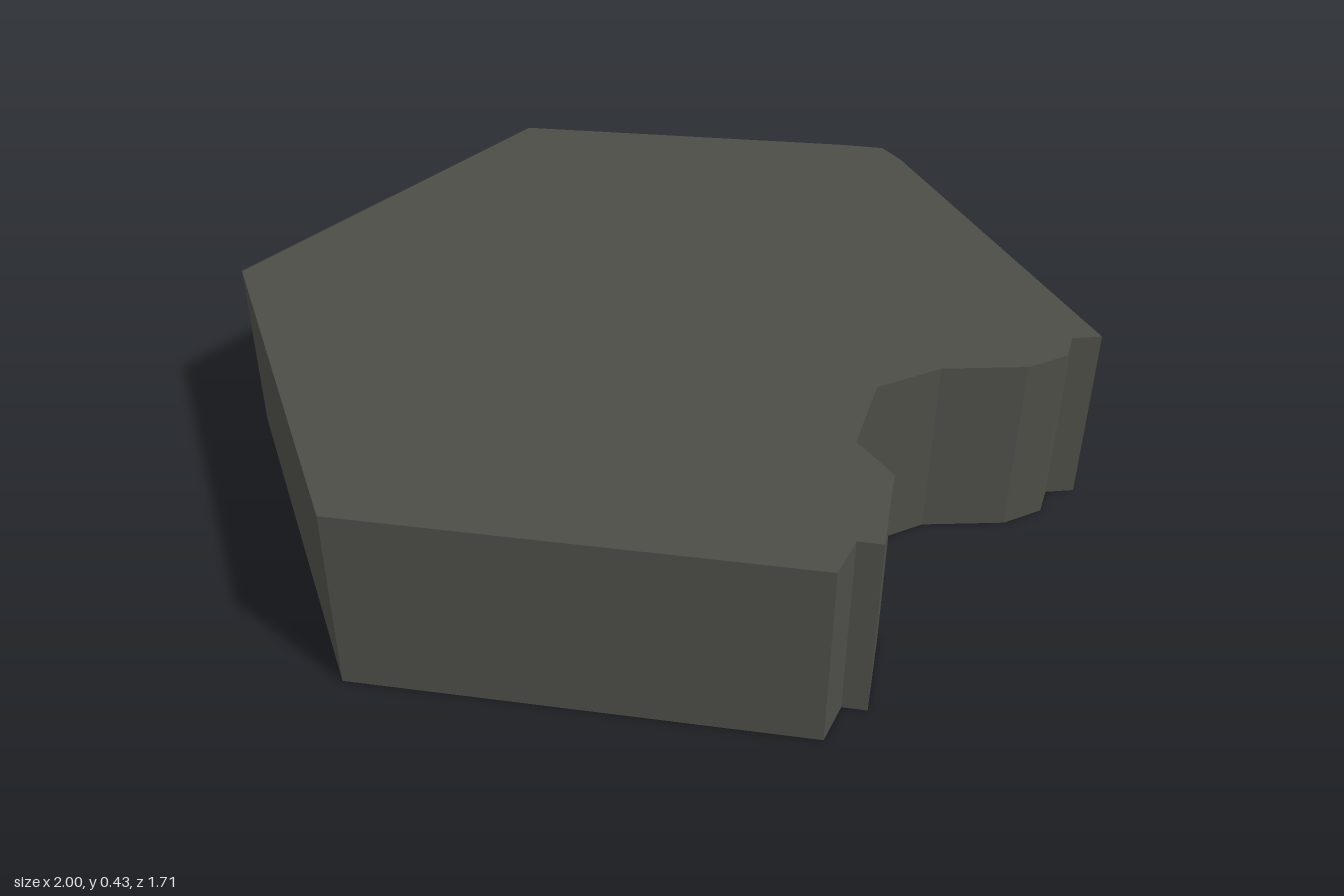
import * as THREE from 'three';

const HEIGHT = 0.43;

// Hexagon outline with a ragged bite in the front edge, as [x, z]
const OUTLINE = [
  [-0.5, -0.857], [0.5, -0.857], [0.95, -0.12], [1, -0.025], [0.97, 0.05],
  [0.497, 0.853], [0.45, 0.805], [0.38, 0.828], [0.287, 0.783], [0.165, 0.64],
  [0.02, 0.57], [-0.17, 0.64], [-0.215, 0.757], [-0.405, 0.853],
  [-0.43, 0.807], [-0.525, 0.828], [-1, -0.025],
];

// One flat, outward-facing quad for each edge of the outline
function wallGeometry(points, height) {
  const positions = [];
  points.forEach(([ax, az], i) => {
    const [bx, bz] = points[(i + 1) % points.length];
    positions.push(
      ax, 0, az, ax, height, az, bx, height, bz,
      ax, 0, az, bx, height, bz, bx, 0, bz,
    );
  });
  const geometry = new THREE.BufferGeometry();
  geometry.setAttribute('position', new THREE.Float32BufferAttribute(positions, 3));
  geometry.computeVertexNormals();
  return geometry;
}

export function createModel() {
  const group = new THREE.Group();
  group.name = 'brokenHexTile';

  const stone = new THREE.MeshStandardMaterial({
    color: 0x4d4d48,
    flatShading: true,
    side: THREE.DoubleSide,
  });
  stone.name = 'dark stone';

  // Top slab face; the shell is open underneath
  const shape = new THREE.Shape(OUTLINE.map(([x, z]) => new THREE.Vector2(x, -z)));
  const top = new THREE.Mesh(
    new THREE.ShapeGeometry(shape).rotateX(-Math.PI / 2).translate(0, HEIGHT, 0),
    stone,
  );
  top.name = 'topFace';

  // Thin side walls
  const walls = new THREE.Mesh(wallGeometry(OUTLINE, HEIGHT), stone);
  walls.name = 'sideWalls';

  group.add(top, walls);
  return group;
}
